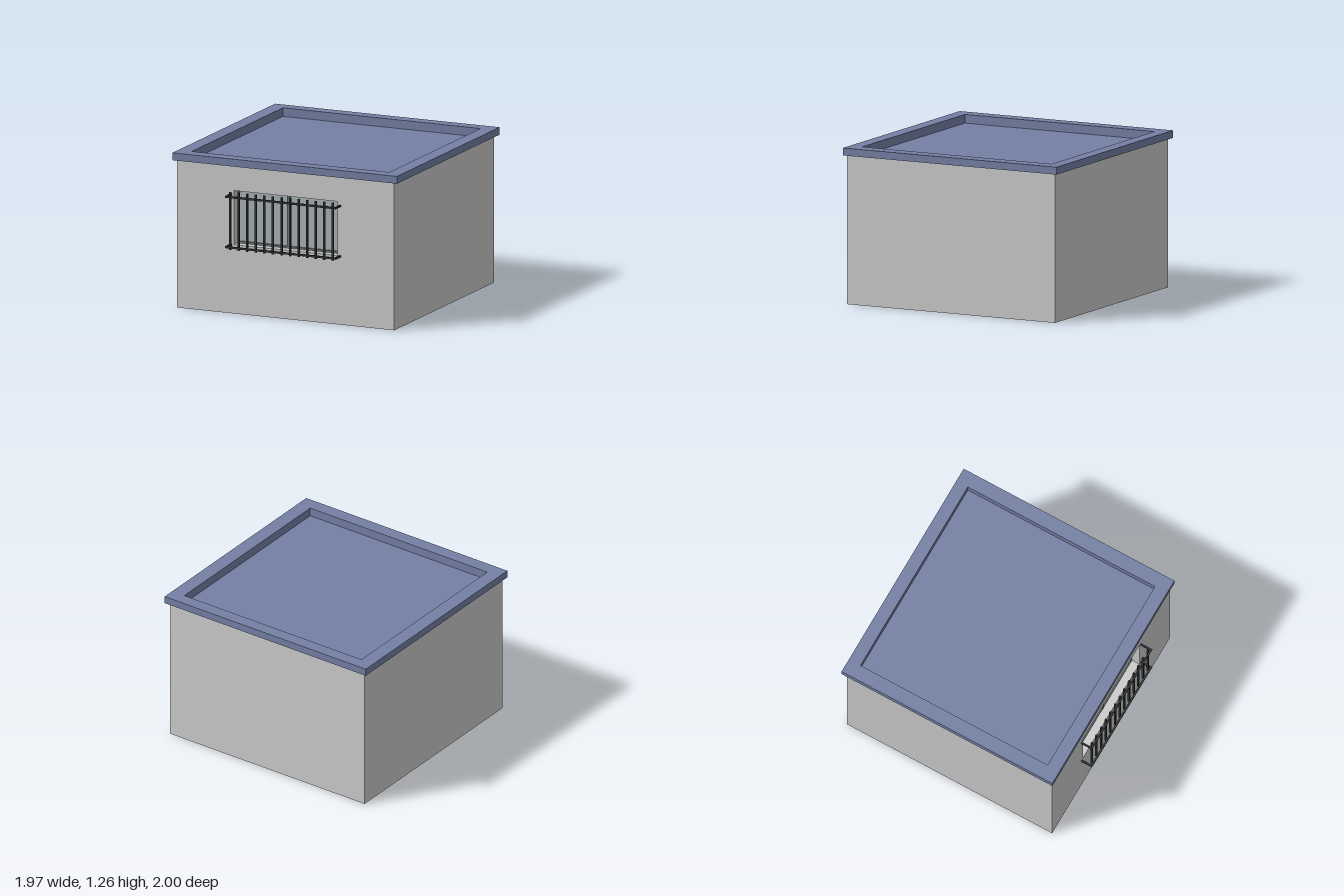
import * as THREE from 'three';

const mat = (color) => new THREE.MeshStandardMaterial({ color, side: THREE.DoubleSide, flatShading: true });
const wallMat = mat(0xcccccc);
const roofMat = mat(0x7480a4);
const ironMat = mat(0x303434);
const frameMat = mat(0x777b7b);
const glassMat = mat(0xaab3b8);

// Skin through a list of level rectangles [x half-width, z back, z front, y]
function rectLoft(sections, capLast = false) {
  const rings = sections.map(([x, zb, zf, y]) => [[-x, y, zf], [x, y, zf], [x, y, zb], [-x, y, zb]]);
  const pos = [];
  const quad = (a, b, c, d) => pos.push(...a, ...b, ...c, ...a, ...c, ...d);
  for (let i = 0; i + 1 < rings.length; i++) {
    for (let k = 0; k < 4; k++) {
      const n = (k + 1) % 4;
      quad(rings[i][k], rings[i][n], rings[i + 1][n], rings[i + 1][k]);
    }
  }
  if (capLast) quad(...rings[rings.length - 1]);
  const geo = new THREE.BufferGeometry();
  geo.setAttribute('position', new THREE.Float32BufferAttribute(pos, 3));
  geo.computeVertexNormals();
  return geo;
}

function add(parent, name, geo, material, x = 0, y = 0, z = 0) {
  const mesh = new THREE.Mesh(geo, material);
  mesh.name = name;
  mesh.position.set(x, y, z);
  parent.add(mesh);
  return mesh;
}

const box = (parent, name, material, w, h, d, x, y, z) =>
  add(parent, name, new THREE.BoxGeometry(w, h, d), material, x, y, z);

export function createModel() {
  const model = new THREE.Group();
  model.name = 'barredHut';

  const W = 0.95, H = 1.2, FRONT = 0.9, BACK = -0.97;
  const win = { w: 0.455, y0: 0.56, y1: 1.0, back: 0.81 };
  const winH = win.y1 - win.y0, winY = (win.y0 + win.y1) / 2;

  // Walls: thin sheets, open at the bottom
  const walls = new THREE.Group();
  walls.name = 'walls';
  model.add(walls);
  const face = new THREE.Shape([[-W, 0], [W, 0], [W, H], [-W, H]].map((p) => new THREE.Vector2(...p)));
  face.holes.push(new THREE.Path([[-win.w, win.y0], [-win.w, win.y1], [win.w, win.y1], [win.w, win.y0]]
    .map((p) => new THREE.Vector2(...p))));
  add(walls, 'frontWall', new THREE.ShapeGeometry(face), wallMat, 0, 0, FRONT);
  add(walls, 'backWall', new THREE.PlaneGeometry(2 * W, H), wallMat, 0, H / 2, BACK).rotation.y = Math.PI;
  for (const s of [-1, 1]) {
    const side = add(walls, s > 0 ? 'leftWall' : 'rightWall', new THREE.PlaneGeometry(FRONT - BACK, H),
      wallMat, s * W, H / 2, (FRONT + BACK) / 2);
    side.rotation.y = s * Math.PI / 2;
  }

  // Roof: soffit, fascia, rim, and sunken deck in one skin
  add(model, 'roof', rectLoft([
    [W, BACK, FRONT, H],
    [0.983, -1, 0.92, H],
    [0.983, -1, 0.92, 1.26],
    [0.865, -0.895, 0.81, 1.26],
    [0.865, -0.895, 0.81, 1.19],
  ], true), roofMat);

  // Window: recess, pane, frame and centre stile
  const windowGroup = new THREE.Group();
  windowGroup.name = 'window';
  model.add(windowGroup);
  const depth = FRONT - win.back, midZ = (FRONT + win.back) / 2;
  for (const y of [win.y0, win.y1]) {
    add(windowGroup, y === win.y0 ? 'sill' : 'head', new THREE.PlaneGeometry(2 * win.w, depth),
      wallMat, 0, y, midZ).rotation.x = y === win.y0 ? -Math.PI / 2 : Math.PI / 2;
  }
  for (const s of [-1, 1]) {
    add(windowGroup, 'jamb', new THREE.PlaneGeometry(depth, winH),
      wallMat, s * win.w, winY, midZ).rotation.y = -s * Math.PI / 2;
  }
  add(windowGroup, 'glass', new THREE.PlaneGeometry(2 * win.w, winH), glassMat, 0, winY, win.back);
  const f = 0.015, fz = win.back + 0.012;
  for (const s of [-1, 1]) {
    box(windowGroup, 'frameRail', frameMat, 2 * win.w, f, 0.02, 0, winY + s * (winH - f) / 2, fz);
    box(windowGroup, 'frameStile', frameMat, f, winH, 0.02, s * (win.w - f / 2), winY, fz);
  }
  box(windowGroup, 'centreStile', frameMat, 0.022, winH, 0.025, -0.01, winY, fz);

  // Security grille: two rails with arms back to the wall, and upright bars
  const grille = new THREE.Group();
  grille.name = 'windowGrille';
  model.add(grille);
  const t = 0.015, railZ = 1 - t / 2;
  for (const y of [0.557, 0.967]) {
    box(grille, 'grilleRail', ironMat, 0.97, t, t, 0, y, railZ);
    for (const s of [-1, 1]) {
      box(grille, 'grilleArm', ironMat, t, t, 1 - FRONT, s * (0.485 - t / 2), y, (1 + FRONT) / 2);
    }
  }
  for (let i = -6; i <= 6; i++) {
    box(grille, 'grilleBar', ironMat, t, 0.47, t, i * 0.075, 0.77, 0.978);
  }

  return model;
}
